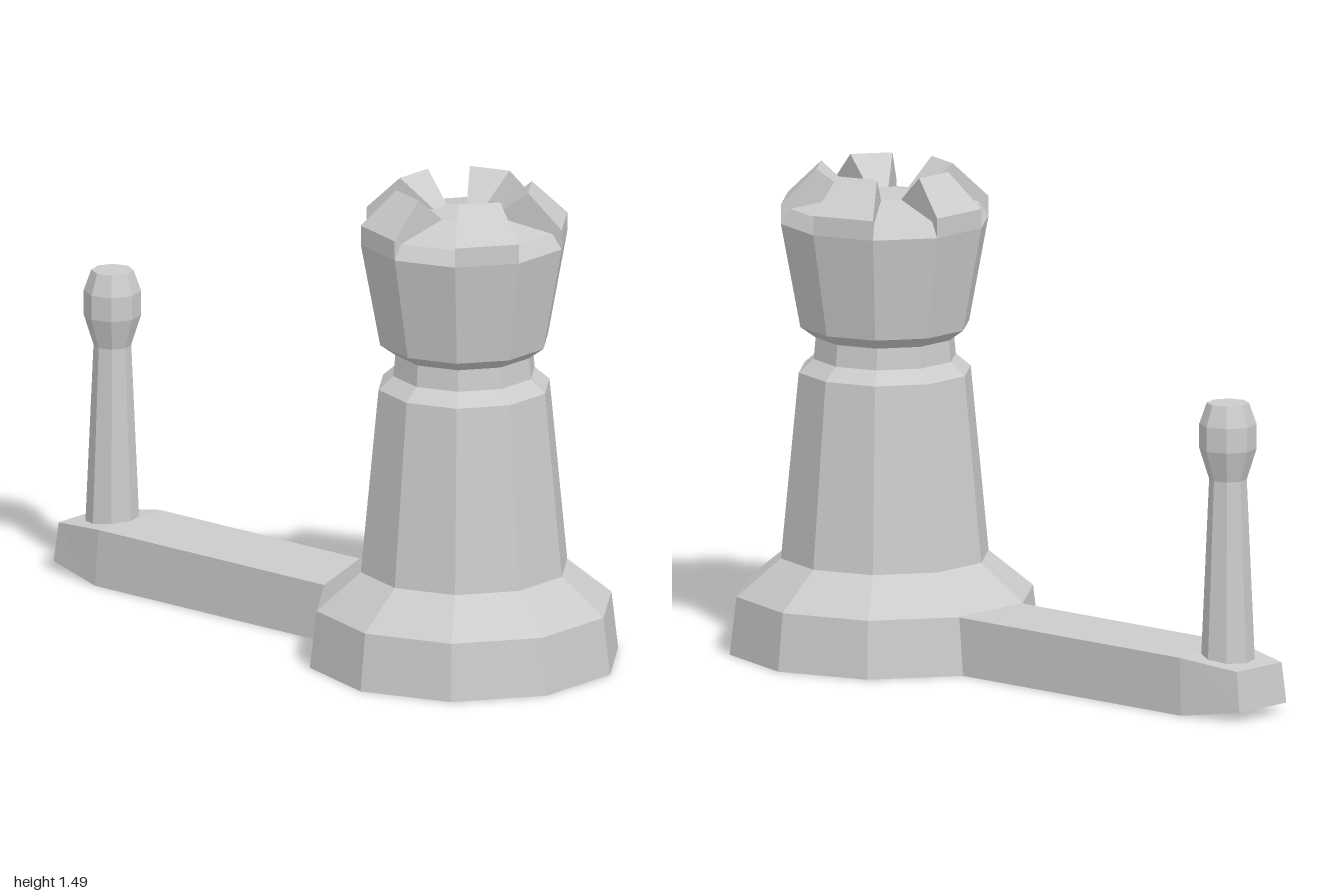
import * as THREE from 'three';

const material = new THREE.MeshStandardMaterial({ color: 0xcccccc, flatShading: true });

function part(name, geometry) {
  const mesh = new THREE.Mesh(geometry, material);
  mesh.name = name;
  return mesh;
}

// Solid through matching convex rings of [x, y, z] points, closed at both ends
function loft(rings) {
  const pos = [];
  const tri = (a, b, c) => pos.push(...a, ...b, ...c);
  const n = rings[0].length;
  for (let i = 0; i < rings.length - 1; i++) {
    const a = rings[i], b = rings[i + 1];
    for (let j = 0; j < n; j++) {
      const k = (j + 1) % n;
      tri(a[j], a[k], b[k]);
      tri(a[j], b[k], b[j]);
    }
  }
  const first = rings[0], last = rings[rings.length - 1];
  for (let j = 1; j < n - 1; j++) {
    tri(first[0], first[j + 1], first[j]);
    tri(last[0], last[j], last[j + 1]);
  }
  const geometry = new THREE.BufferGeometry();
  geometry.setAttribute('position', new THREE.Float32BufferAttribute(pos, 3));
  geometry.computeVertexNormals();
  return geometry;
}

// Faceted turned shape from [radius, y] points, bottom to top
function turned(profile, sides) {
  const points = profile.map(([r, y]) => new THREE.Vector2(r, y));
  return new THREE.LatheGeometry(points, sides).toNonIndexed();
}

export function createModel() {
  const model = new THREE.Group();
  model.name = 'towerHandle';

  // Ten-sided tower with base, shaft, neck and head
  const tower = new THREE.Group();
  tower.name = 'tower';
  tower.position.x = 0.545;
  tower.add(part('towerBody', turned([
    [0, 0], [0.478, 0], [0.457, 0.177], [0.32, 0.29], [0.265, 0.86],
    [0.219, 0.9], [0.213, 0.966], [0.26, 1.0], [0.32, 1.32],
    [0.29, 1.365], [0.1, 1.4], [0, 1.4],
  ], 10)));

  // Five wedge-shaped battlements, one on every second side
  const section = [[0.32, 1.32], [0.32, 1.38], [0.21, 1.485], [0.1, 1.4]];
  const slice = (angle) =>
    section.map(([r, y]) => [r * Math.cos(angle), y, r * Math.sin(angle)]);
  for (let i = 0; i < 5; i++) {
    const mid = Math.PI + (i * Math.PI * 2) / 5;
    tower.add(part('battlement', loft([slice(mid - Math.PI / 10), slice(mid + Math.PI / 10)])));
  }
  model.add(tower);

  // Arm with a tapered end: bottom x, top x, bottom y, top y, bottom and top half width
  const arm = [
    [-1, -0.985, 0.03, 0.153, 0.105, 0.1],
    [-0.8, -0.79, 0, 0.176, 0.148, 0.142],
    [0.15, 0.15, 0, 0.176, 0.148, 0.142],
  ].map(([xb, xt, yb, yt, wb, wt]) =>
    [[xt, yt, wt], [xb, yb, wb], [xb, yb, -wb], [xt, yt, -wt]]);
  model.add(part('arm', loft(arm)));

  // Upright grip with a rounded knob
  const grip = part('grip', turned([
    [0, 0.1], [0.083, 0.12], [0.057, 0.715], [0.087, 0.81],
    [0.087, 0.885], [0.064, 0.95], [0, 0.95],
  ], 8));
  grip.position.x = -0.857;
  grip.rotation.y = -0.1;
  model.add(grip);

  return model;
}
